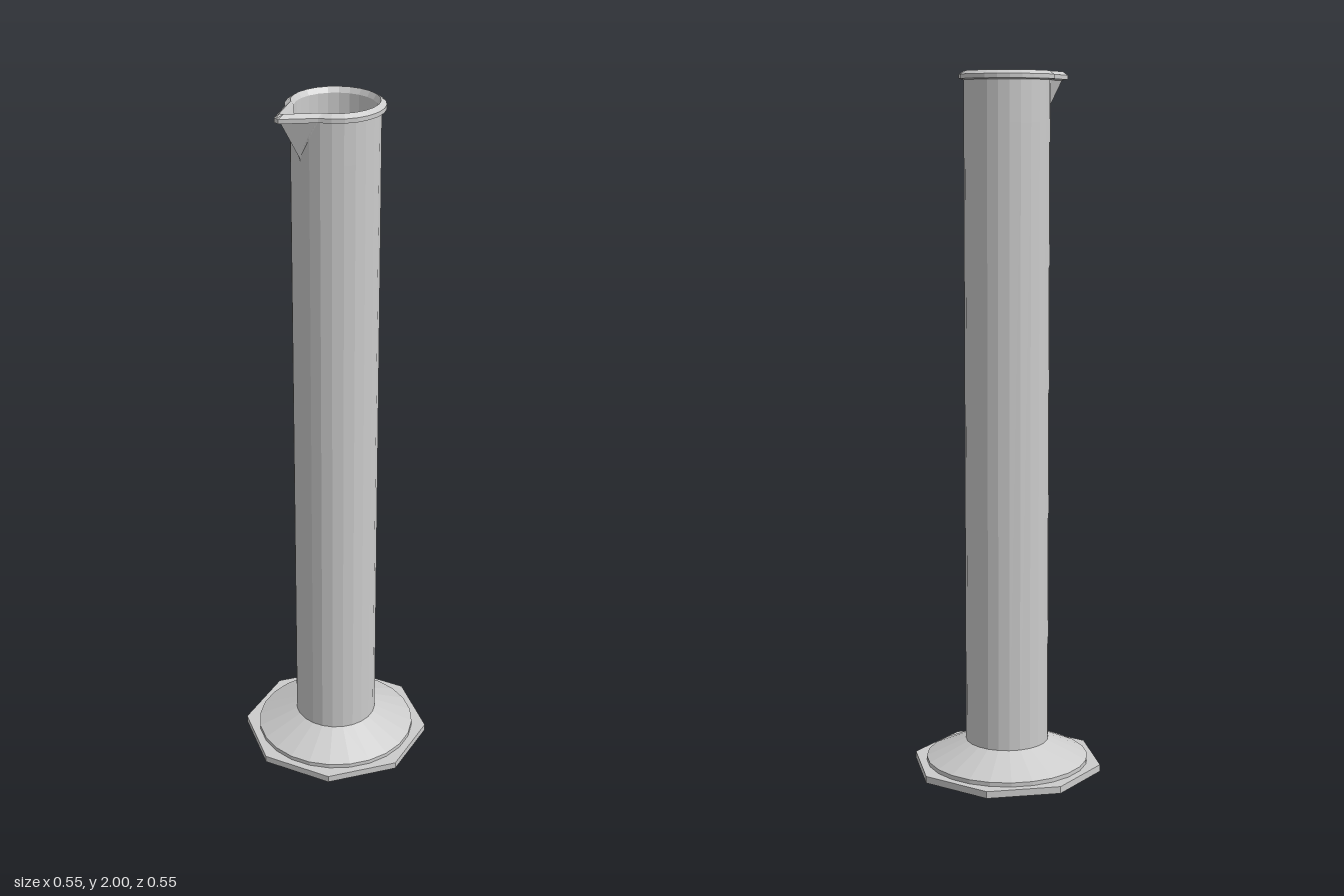
import * as THREE from 'three';

const SIDES = 24;
const SPOUT_LOW = 1.865, SPOUT_TOP = 1.985;
const WEDGE = THREE.MathUtils.degToRad(35); // half angle of the spout, seen from above

const material = new THREE.MeshStandardMaterial({ color: 0xcccccc, flatShading: true });

function addMesh(group, name, geometry) {
  const flat = geometry.index ? geometry.toNonIndexed() : geometry;
  flat.computeVertexNormals();
  const mesh = new THREE.Mesh(flat, material);
  mesh.name = name;
  group.add(mesh);
}

// Radius of the 24-sided outline, pulled out to a wedge where the spout is.
function outline(theta, y, radius, offset, tipLimit) {
  const step = (Math.PI * 2) / SIDES;
  const local = theta - (Math.floor(theta / step + 1e-6) + 0.5) * step;
  const round = (radius * Math.cos(step / 2)) / Math.cos(local);
  const c = Math.cos(theta), s = Math.abs(Math.sin(theta));
  if (c < 0.7) return round;
  const t = (Math.min(y, SPOUT_TOP) - SPOUT_LOW) / (SPOUT_TOP - SPOUT_LOW);
  const tip = 0.12 + 0.07 * t;
  const wedge = (tip * Math.sin(WEDGE) + offset) / (Math.sin(WEDGE) * c + Math.cos(WEDGE) * s);
  return Math.max(round, Math.min(wedge, tipLimit / c));
}

// Tube wall, rim, spout and inner floor as one skin of stacked cross-sections.
function vesselGeometry() {
  // Angles start at the spout (-x); they are finer around it.
  const angles = [];
  for (let d = -45; d < 45; d += 2.5) angles.push(d);
  for (let d = 45; d <= 315; d += 15) angles.push(d);
  const thetas = angles.map(THREE.MathUtils.degToRad);

  // Each ring: height, radius, spout offset, spout tip limit, height used for the spout.
  const rings = [[0.08, 0.12, 0, 0.19, 0]];
  const STEPS = 12;
  for (let i = 0; i <= STEPS; i++) {
    const y = 1.86 + (0.115 * i) / STEPS;
    rings.push([y, 0.12, 0, 0.19, y]);
  }
  rings.push([1.978, 0.133, 0.012, 0.198, SPOUT_TOP]); // rim
  rings.push([1.99, 0.133, 0.012, 0.198, SPOUT_TOP]);
  rings.push([2.0, 0.118, 0, 0.188, SPOUT_TOP]);
  for (let i = STEPS; i >= 0; i--) {
    const y = 1.86 + (0.125 * i) / STEPS;
    rings.push([y, 0.109, -0.006, 0.18, y]);
  }
  rings.push([0.09, 0.109, -0.006, 0.18, 0]);
  rings.push([0.09, 0, 0, 0, 0]); // floor centre

  const positions = [], index = [], n = thetas.length;
  for (const [y, radius, offset, limit, spoutY] of rings) {
    for (const theta of thetas) {
      const r = spoutY > 0 ? outline(theta, spoutY, radius, offset, limit)
        : outline(theta, 0, radius, -1, 0);
      positions.push(-r * Math.cos(theta), y, r * Math.sin(theta));
    }
  }
  for (let i = 0; i < rings.length - 1; i++) {
    for (let j = 0; j < n - 1; j++) {
      const a = i * n + j, b = a + 1, c = b + n, d = a + n;
      index.push(a, b, c);
      if (i < rings.length - 2) index.push(a, c, d);
    }
  }
  const geometry = new THREE.BufferGeometry();
  geometry.setAttribute('position', new THREE.Float32BufferAttribute(positions, 3));
  geometry.setIndex(index);
  return geometry;
}

function polygon(radius, sides) {
  return Array.from({ length: sides }, (_, i) => {
    const a = (i / sides) * Math.PI * 2;
    return new THREE.Vector2(radius * Math.cos(a), radius * Math.sin(a));
  });
}

export function createModel() {
  const model = new THREE.Group();
  model.name = 'measuringCylinder';

  // Eight-sided foot plate around the hollow base
  const plateShape = new THREE.Shape(polygon(0.276, 8));
  plateShape.holes.push(new THREE.Path(polygon(0.235, SIDES)));
  const plate = new THREE.ExtrudeGeometry(plateShape, { depth: 0.02, bevelEnabled: false });
  plate.rotateX(-Math.PI / 2);
  addMesh(model, 'footPlate', plate);

  // Conical base, hollow underneath
  const profile = [[0, 0.07], [0.11, 0.07], [0.225, 0], [0.235, 0], [0.235, 0.032], [0.12, 0.085]]
    .map(([r, y]) => new THREE.Vector2(r, y));
  addMesh(model, 'base', new THREE.LatheGeometry(profile, SIDES));

  // Tube with rim and pouring spout
  addMesh(model, 'tubeWithSpout', vesselGeometry());
  return model;
}
